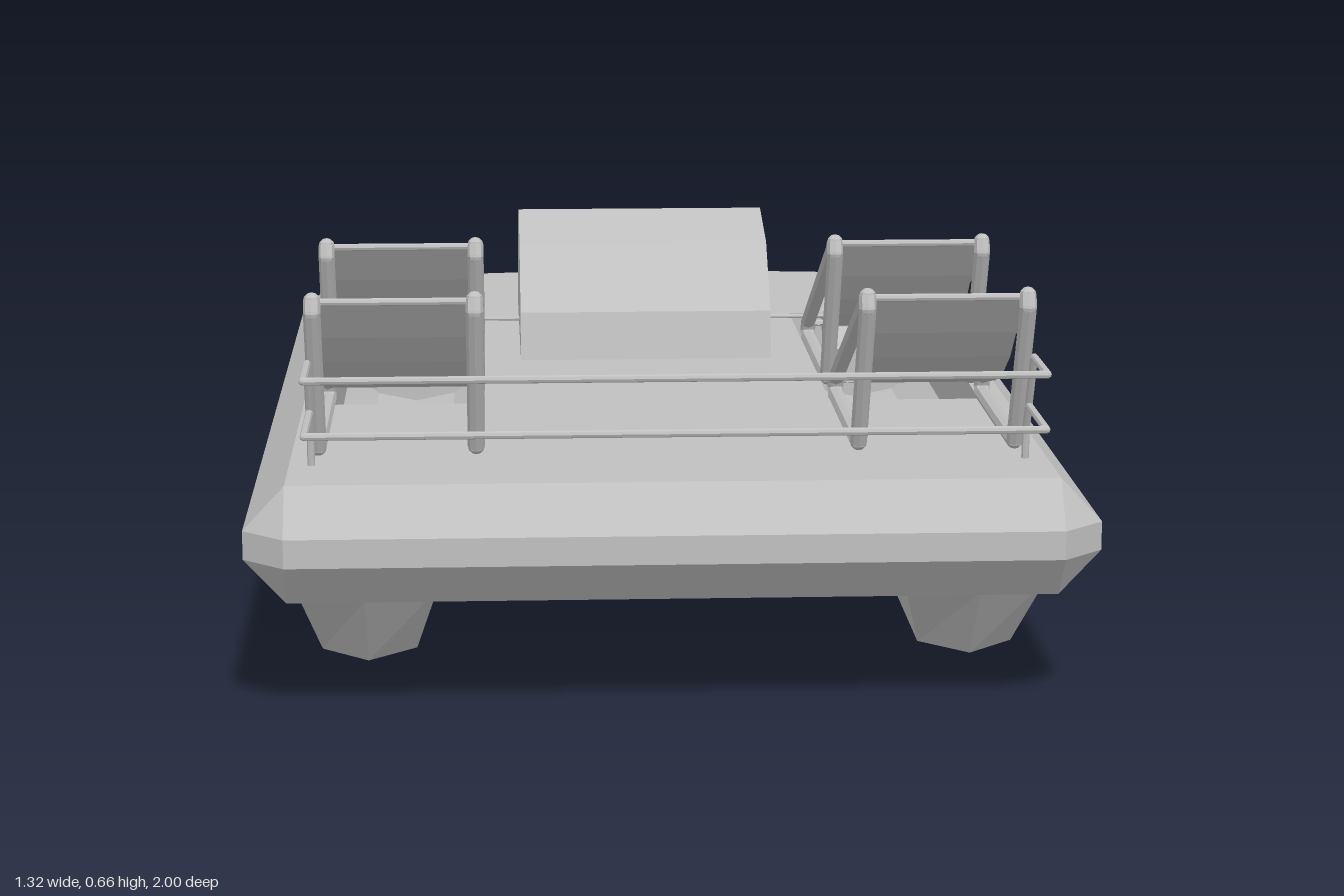
import * as THREE from 'three';
import { mergeGeometries } from 'three/addons/utils/BufferGeometryUtils.js';

const grey = new THREE.MeshStandardMaterial({ color: 0xc0c0c0, flatShading: true, side: THREE.DoubleSide });
grey.name = 'light grey';

function part(name, geometry, parent) {
  const mesh = new THREE.Mesh(geometry, grey);
  mesh.name = name;
  parent.add(mesh);
  return mesh;
}

// Skin between rings of [x, y, z] points with equal counts
function loft(rings, closed = true) {
  const n = rings[0].length, index = [];
  for (let r = 0; r < rings.length - 1; r++) {
    for (let i = 0; i < (closed ? n : n - 1); i++) {
      const j = (i + 1) % n, a = r * n, b = a + n;
      index.push(a + i, a + j, b + j, a + i, b + j, b + i);
    }
  }
  const geo = new THREE.BufferGeometry();
  geo.setAttribute('position', new THREE.Float32BufferAttribute(rings.flat(2), 3));
  geo.setIndex(index);
  geo.computeVertexNormals();
  return geo;
}

// Bent rod: straight cylinders with round joints
function rod(points, radius, closed = false) {
  const pts = points.map((p) => new THREE.Vector3(...p));
  const pieces = pts.map((p) => new THREE.SphereGeometry(radius, 8, 6).translate(p.x, p.y, p.z));
  const up = new THREE.Vector3(0, 1, 0);
  for (let i = 0; i < pts.length - (closed ? 0 : 1); i++) {
    const a = pts[i], b = pts[(i + 1) % pts.length];
    const dir = b.clone().sub(a), length = dir.length();
    const q = new THREE.Quaternion().setFromUnitVectors(up, dir.normalize());
    const mid = a.clone().add(b).multiplyScalar(0.5);
    pieces.push(new THREE.CylinderGeometry(radius, radius, length, 8, 1, true)
      .applyQuaternion(q).translate(mid.x, mid.y, mid.z));
  }
  return mergeGeometries(pieces);
}

// Flat horizontal plate from [x, z] points, with optional holes
function plate(outline, y, faceUp, holes = []) {
  const s = faceUp ? -1 : 1;
  const vectors = (pts) => pts.map(([x, z]) => new THREE.Vector2(x, s * z));
  const shape = new THREE.Shape(vectors(outline));
  holes.forEach((h) => shape.holes.push(new THREE.Path(vectors(h))));
  return new THREE.ShapeGeometry(shape).rotateX(s * Math.PI / 2).translate(0, y, 0);
}

const DECK = 0.375;
const WELL = { x0: 0.295, x1: 0.55, z0: -0.445, z1: 0.35 };

function buildDeck(parent) {
  const outer = [[-0.595, 0.99], [0.595, 0.99], [0.66, 0.93], [0.66, -0.87], [0.595, -0.925],
    [0, -1], [-0.595, -0.925], [-0.66, -0.87], [-0.66, 0.93]];
  const inner = [[-0.595, 0.93], [0.595, 0.93], [0.595, 0.93], [0.595, -0.87], [0.595, -0.87],
    [0, -0.945], [-0.595, -0.87], [-0.595, -0.87], [-0.595, 0.93]];
  const ring = (pts, y) => pts.map(([x, z]) => [x, y, z]);
  part('deckRim', loft([ring(inner, 0.19), ring(outer, 0.26), ring(outer, 0.305), ring(inner, DECK)]), parent);

  const cap = [inner[0], inner[1], inner[3], inner[5], inner[6]];
  const { x0, x1, z0, z1 } = WELL;
  const holes = [1, -1].map((s) => [[s * x0, z0], [s * x1, z0], [s * x1, z1], [s * x0, z1]]);
  part('deckTop', plate(cap, DECK, true, holes), parent);
  part('deckBottom', plate(cap, 0.19, false), parent);
}

// Foot trough with a faceted floor
function buildWell(side, parent) {
  const { x0, x1, z0, z1 } = WELL;
  const profile = [[x0, DECK], [x0, 0.265], [0.35, 0.225], [0.4225, 0.21], [0.495, 0.225], [x1, 0.265], [x1, DECK]]
    .map(([x, y]) => [side * x, y]);
  const well = new THREE.Group();
  well.name = 'footwell';
  parent.add(well);
  part('footwellFloor', loft([z0, z1].map((z) => profile.map(([x, y]) => [x, y, z])), false), well);
  const end = new THREE.Shape(profile.map(([x, y]) => new THREE.Vector2(x, y)));
  for (const z of [z0, z1]) part('footwellEnd', new THREE.ShapeGeometry(end).translate(0, 0, z), well);
}

// Float with pointed ends and a keel falling to one low point
function buildPontoon(side, parent) {
  const cx = side * 0.475;
  const ring = (y, w, front, frontTip, back, backTip) => [[cx - w, y, front], [cx - w, y, back], [cx, y, backTip],
    [cx + w, y, back], [cx + w, y, front], [cx, y, frontTip]];
  const keel = Array.from({ length: 6 }, () => [cx, 0, 0.03]);
  part('pontoon', loft([ring(0.19, 0.11, 0.86, 0.92, -0.81, -0.87),
    ring(0.065, 0.075, 0.75, 0.82, -0.69, -0.76), keel]), parent);
}

// Reclined sling seat on a tube frame
function buildSeat(side, dz, parent) {
  const seat = new THREE.Group();
  seat.name = 'seat';
  seat.position.z = dz;
  parent.add(seat);
  const frame = [[0.63, 0.815], [0.643, 0.835], [0.625, 0.842], [0.39, 0.735], [0.39, 0.375], [0.4, 0.363], [0.418, 0.37]];
  for (const x of [0.303, 0.552]) {
    part('seatFrame', rod(frame.map(([y, z]) => [side * x, y, z]), 0.0135, true), seat);
  }
  for (const [y, z] of [[0.64, 0.832], [0.415, 0.37]]) {
    part('seatCrossbar', rod([[side * 0.303, y, z], [side * 0.552, y, z]], 0.006), seat);
  }
  const sling = [[0.635, 0.832], [0.575, 0.785], [0.525, 0.73], [0.485, 0.66], [0.455, 0.58], [0.432, 0.48], [0.415, 0.37]];
  part('seatSling', loft(sling.map(([y, z]) => [0.312, 0.543].map((x) => [side * x, y, z])), false), seat);
}

// Bent crank with two pedals
function buildPedals(side, parent) {
  const pedals = new THREE.Group();
  pedals.name = 'pedals';
  parent.add(pedals);
  const path = [[0.2, 0.39, -0.335], [0.35, 0.39, -0.335], [0.357, 0.335, -0.38], [0.412, 0.335, -0.38],
    [0.425, 0.425, -0.285], [0.475, 0.425, -0.285], [0.482, 0.385, -0.335], [0.55, 0.385, -0.335]];
  part('crank', rod(path.map(([x, y, z]) => [side * x, y, z]), 0.004), pedals);
  for (const [x, y, z] of [[0.385, 0.335, -0.38], [0.45, 0.425, -0.285]]) {
    const pedal = part('pedal', new THREE.BoxGeometry(0.045, 0.008, 0.075), pedals);
    pedal.position.set(side * x, y, z);
    pedal.rotation.x = 0.4;
  }
}

// Two-bar railing across the end of the deck
function buildRailing(parent) {
  const upper = [[0.56, DECK, 0.793], [0.56, 0.42, 0.797], [0.56, 0.55, 0.86], [0.56, 0.55, 0.992]];
  const lower = [[0.56, 0.465, 0.82], [0.56, 0.465, 0.992]];
  for (const half of [upper, lower]) {
    const mirrored = half.map(([x, y, z]) => [-x, y, z]).reverse();
    part('railing', rod([...half, ...mirrored], 0.006), parent);
  }
}

export function createModel() {
  const boat = new THREE.Group();
  boat.name = 'pedalBoat';
  buildDeck(boat);

  // Twelve-sided paddle wheel housing passing through the deck
  const housing = part('paddleHousing', new THREE.CylinderGeometry(0.295, 0.295, 0.45, 12), boat);
  housing.rotation.z = Math.PI / 2;
  housing.position.set(0, 0.31, -0.29);

  for (const side of [1, -1]) {
    buildPontoon(side, boat);
    buildWell(side, boat);
    buildPedals(side, boat);
    for (const dz of [0, -0.505]) buildSeat(side, dz, boat);
  }
  buildRailing(boat);
  return boat;
}
